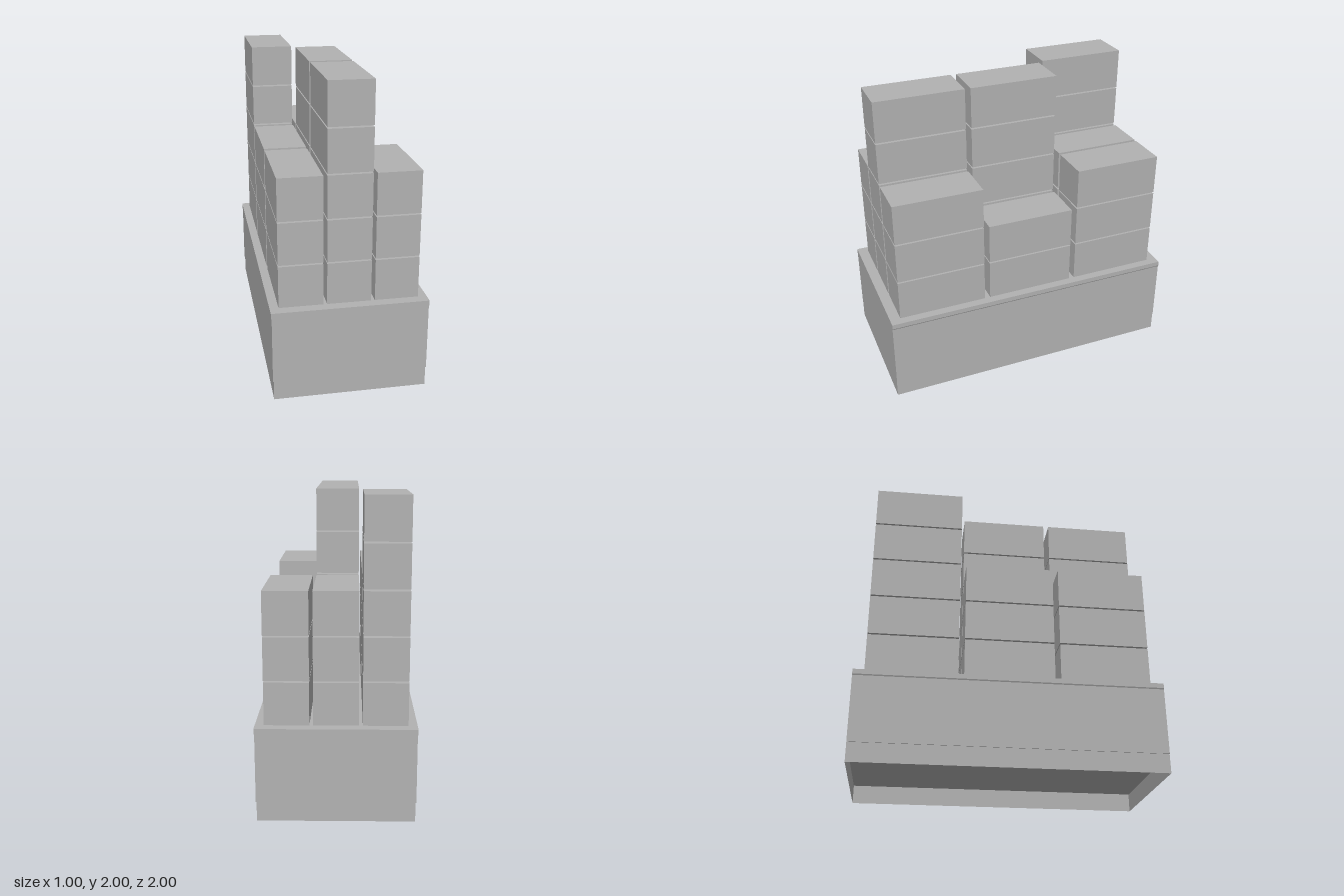
import * as THREE from 'three';

export function createModel() {
  const model = new THREE.Group();
  model.name = 'containerShipBay';
  const grey = new THREE.MeshStandardMaterial({ color: 0xb2b2b2, side: THREE.DoubleSide });
  grey.name = 'plain grey';

  const add = (parent, name, geometry, x = 0, y = 0, z = 0) => {
    const mesh = new THREE.Mesh(geometry, grey);
    mesh.name = name;
    mesh.position.set(x, y, z);
    parent.add(mesh);
    return mesh;
  };

  // Hull: half profile mirrored in x, with a thin lip under the deck edge
  const skirtTop = 0.125, skirtHalf = 0.491;
  const half = [[0.496, skirtTop], [0.496, 0.56], [0.5, 0.568], [0.5, 0.6]];
  const outline = [...half, ...half.map(([x, y]) => [-x, y]).reverse()];
  const shape = new THREE.Shape(outline.map(([x, y]) => new THREE.Vector2(x, y)));
  const hull = new THREE.ExtrudeGeometry(shape, { depth: 2, bevelEnabled: false });
  hull.translate(0, 0, -1);
  add(model, 'hullBody', hull);

  // Skirt: thin walls around the open underside
  const skirt = new THREE.Group();
  skirt.name = 'hullSkirt';
  model.add(skirt);
  for (const s of [-1, 1]) {
    const side = add(skirt, 'skirtSide', new THREE.PlaneGeometry(2, skirtTop), s * skirtHalf, skirtTop / 2, 0);
    side.rotation.y = s * Math.PI / 2;
    const end = add(skirt, 'skirtEnd', new THREE.PlaneGeometry(skirtHalf * 2, skirtTop), 0, skirtTop / 2, s);
    end.rotation.y = s > 0 ? 0 : Math.PI;
  }

  // Containers: stack heights by row (back to front) and column (-x to +x)
  const stacks = [
    [5, 3, 3],
    [3, 5, 2],
    [3, 5, 3],
  ];
  const container = new THREE.BoxGeometry(0.28, 0.272, 0.595);
  stacks.forEach((row, r) => row.forEach((count, c) => {
    const stack = new THREE.Group();
    stack.name = 'containerStack';
    stack.position.set((c - 1) * 0.304, 0.6, (r - 1) * 0.633);
    model.add(stack);
    for (let i = 0; i < count; i++) add(stack, 'container', container, 0, 0.136 + i * 0.282, 0);
  }));

  return model;
}
